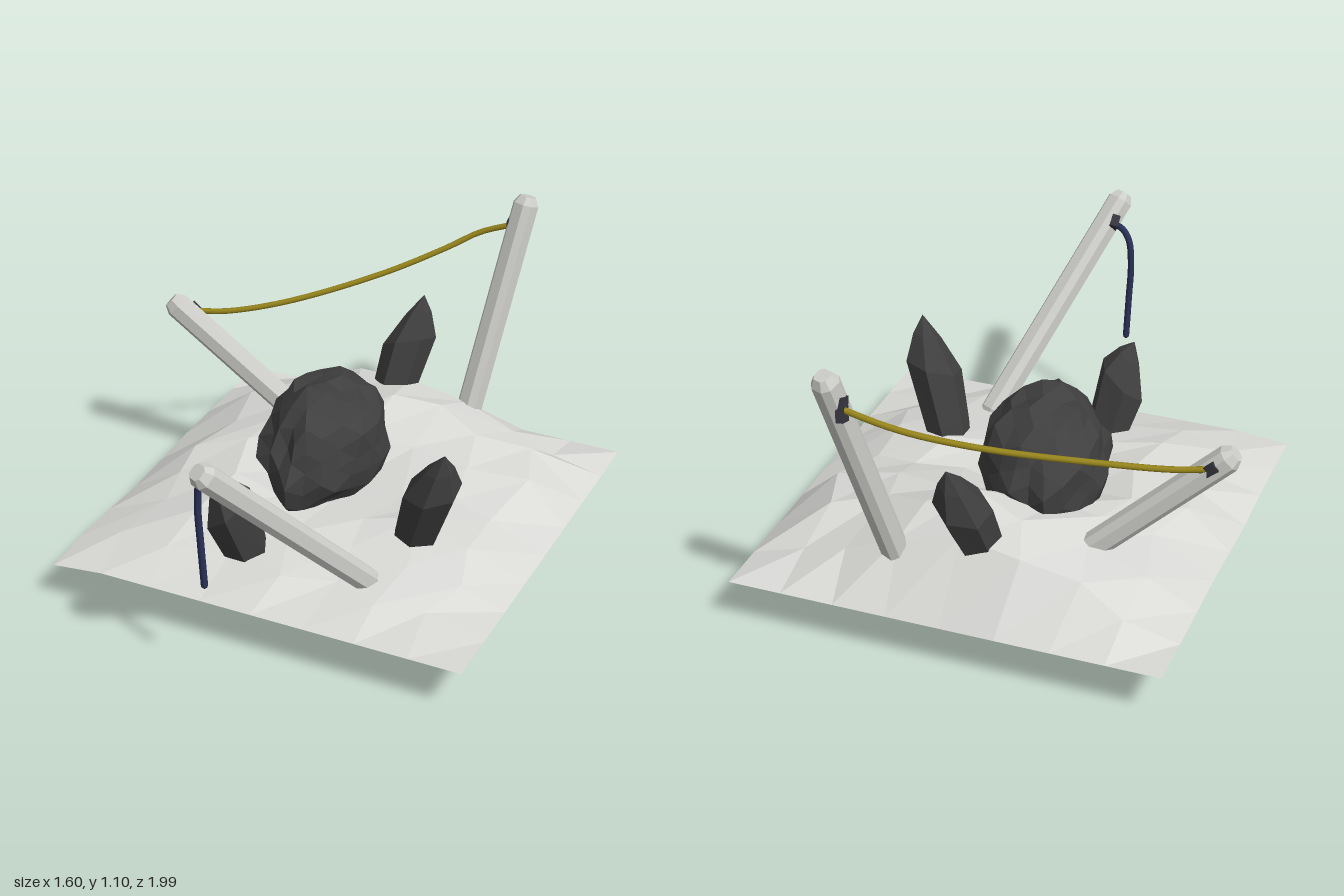
import * as THREE from 'three';

const V = (x, y, z) => new THREE.Vector3(x, y, z);
const material = (name, color, side = THREE.FrontSide) => {
  const m = new THREE.MeshStandardMaterial({ color, side });
  m.name = name;
  return m;
};

// Faceted copy of a geometry
function faceted(geometry) {
  const g = geometry.index ? geometry.toNonIndexed() : geometry;
  g.computeVertexNormals();
  return g;
}

export function createModel() {
  const model = new THREE.Group();
  model.name = 'rockyOutcrop';
  const sand = material('paleGround', 0xd9d9d6, THREE.DoubleSide);
  const post = material('palePost', 0xcdcdc9);
  const stone = material('darkStone', 0x3f3f3f);
  const gold = material('goldCable', 0x94831c);
  const navy = material('navyCable', 0x2a3157);
  const clampGrey = material('clampGrey', 0x34353c);

  function add(name, geometry, mat, position) {
    const mesh = new THREE.Mesh(geometry, mat);
    mesh.name = name;
    if (position) mesh.position.copy(position);
    model.add(mesh);
    return mesh;
  }

  // Ground patch: heights in hundredths, rows from back to front
  const heights = [
    [18, 18, 18, 18, 18, 18, 18, 18, 18],
    [18, 25, 32, 39, 41, 36, 28, 23, 18],
    [18, 29, 34, 42, 46, 42, 37, 33, 18],
    [18, 30, 35, 36, 36, 35, 34, 32, 18],
    [17, 29, 33, 28, 27, 28, 29, 27, 18],
    [16, 27, 32, 29, 28, 29, 31, 28, 18],
    [17, 25, 29, 29, 28, 27, 27, 24, 18],
    [17, 22, 24, 25, 25, 24, 23, 21, 18],
    [16, 18, 18, 18, 18, 18, 18, 18, 18],
  ];
  const ground = new THREE.PlaneGeometry(1.52, 1.53, 8, 8).rotateX(-Math.PI / 2);
  const gp = ground.attributes.position;
  for (let i = 0; i < gp.count; i++) {
    const row = Math.floor(i / 9), col = i % 9;
    const inside = row % 8 && col % 8 ? 1 : 0;
    gp.setXYZ(i,
      gp.getX(i) + 0.04 + inside * 0.035 * Math.sin(row * 2.3 + col),
      heights[row][col] / 100,
      gp.getZ(i) - 0.12 + inside * 0.035 * Math.sin(col * 2.9 + row * 1.3));
  }
  add('ground', faceted(ground), sand);

  // Central boulder: ellipsoid narrowed at front and base, with jagged facets
  const boulder = new THREE.IcosahedronGeometry(1, 3);
  const spikes = [
    [V(0, 0.9, 0.42), 0.13], [V(0.1, 0.85, -0.5), 0.08], [V(-0.9, 0, 0.35), 0.1],
    [V(-0.1, 0, 1), 0.12], [V(-0.45, 0.1, -0.9), 0.12], [V(0.75, 0.5, 0.2), 0.08],
  ].map(([d, amount]) => [d.normalize(), amount]);
  const bp = boulder.attributes.position;
  const d = V(0, 0, 0);
  for (let i = 0; i < bp.count; i++) {
    d.fromBufferAttribute(bp, i).normalize();
    let r = 0.96 + 0.07 * Math.sin(d.x * 9.1 + d.y * 7.3 + 1) * Math.sin(d.z * 8.7 - d.y * 5.9)
      + 0.04 * Math.sin(d.x * 23 - d.z * 19 + d.y * 17);
    for (const [dir, amount] of spikes) r += amount * Math.pow(Math.max(0, d.dot(dir)), 30);
    const narrow = (1 - 0.22 * Math.max(0, d.z)) * (1 - 0.3 * Math.max(0, -d.y));
    bp.setXYZ(i,
      d.x * r * 0.235 * narrow - 0.03 * Math.max(0, -d.y) - 0.05 * Math.max(0, -d.z),
      d.y * r * 0.275,
      d.z * r * 0.31);
  }
  add('boulder', faceted(boulder), stone, V(-0.045, 0.395, -0.13));

  // Hexagonal crystals from buried base to pointed tip
  function crystal(name, base, tip, radius, turn) {
    const length = base.distanceTo(tip);
    const profile = [[0, 0], [0.62, 0.04], [0.85, 0.3], [1, 0.68], [0.5, 0.87], [0, 1]]
      .map(([r, t]) => new THREE.Vector2(r * radius, t * length));
    const g = new THREE.LatheGeometry(profile, 6).rotateY(turn);
    const p = g.attributes.position;
    for (let i = 0; i < p.count; i++) {
      // slanted shoulder
      const t = p.getY(i) / length;
      if (t > 0.5 && t < 0.95) p.setY(i, p.getY(i) + p.getX(i) * 0.5);
    }
    add(name, faceted(g), stone, base).quaternion
      .setFromUnitVectors(V(0, 1, 0), tip.clone().sub(base).normalize());
  }
  crystal('frontCrystal', V(-0.08, 0.13, 0.35), V(-0.17, 0.575, 0.48), 0.095, 0.4);
  crystal('rightCrystal', V(0.36, 0.15, 0.07), V(0.545, 0.69, 0.21), 0.095, 0.1);
  crystal('backCrystal', V(-0.04, 0.2, -0.57), V(0.045, 0.72, -0.78), 0.09, 0.8);

  // Leaning posts: chamfered square section with tapered ends
  function beam(name, bottom, top) {
    const h = 0.03, c = 0.016, bevel = 0.03;
    const section = new THREE.Shape([
      [h, -c], [h, c], [c, h], [-c, h], [-h, c], [-h, -c], [-c, -h], [c, -h],
    ].map(([x, y]) => new THREE.Vector2(x, y)));
    const g = new THREE.ExtrudeGeometry(section, {
      depth: bottom.distanceTo(top) - 2 * bevel,
      bevelEnabled: true, bevelThickness: bevel, bevelSize: 0.016,
      bevelOffset: -0.004, bevelSegments: 1,
    }).translate(0, 0, bevel);
    add(name, g, post, bottom).lookAt(top);
  }
  beam('leftPost', V(-0.015, 0.03, -0.515), V(-0.785, 0.715, -0.35));
  beam('backPost', V(0.24, 0.12, -0.64), V(0.365, 1.105, -0.965));
  beam('frontPost', V(0.35, 0.22, 0.35), V(0.04, 0.915, 0.97));

  // Cables and their clamps
  function cable(name, points, radius, mat) {
    const curve = new THREE.CatmullRomCurve3(points);
    add(name, new THREE.TubeGeometry(curve, 32, radius, 8), mat);
    add(name + 'End', new THREE.SphereGeometry(radius, 8, 6), mat, points[points.length - 1]);
  }
  cable('goldCable', [
    V(-0.71, 0.665, -0.395), V(-0.6, 0.667, -0.44), V(-0.4, 0.705, -0.54), V(-0.1, 0.8, -0.73),
    V(0.1, 0.89, -0.865), V(0.2, 0.945, -0.925), V(0.32, 0.99, -0.95),
  ], 0.011, gold);
  cable('hangingCable', [
    V(0.05, 0.83, 0.875), V(0.01, 0.825, 0.86), V(-0.022, 0.79, 0.845), V(-0.035, 0.7, 0.838),
    V(-0.03, 0.55, 0.835), V(-0.024, 0.395, 0.83),
  ], 0.012, navy);

  const clamps = [
    ['leftClamp', V(-0.71, 0.665, -0.395), V(0.06, 0.035, 0.03), V(0, 0, -0.7)],
    ['backClamp', V(0.315, 0.985, -0.945), V(0.025, 0.08, 0.045), V(0.3, 0, -0.1)],
    ['frontClamp', V(0.05, 0.83, 0.88), V(0.03, 0.07, 0.045), V(-0.7, 0, 0.4)],
  ];
  for (const [name, at, size, tilt] of clamps) {
    add(name, new THREE.BoxGeometry(size.x, size.y, size.z), clampGrey, at)
      .rotation.set(tilt.x, tilt.y, tilt.z);
  }

  return model;
}
